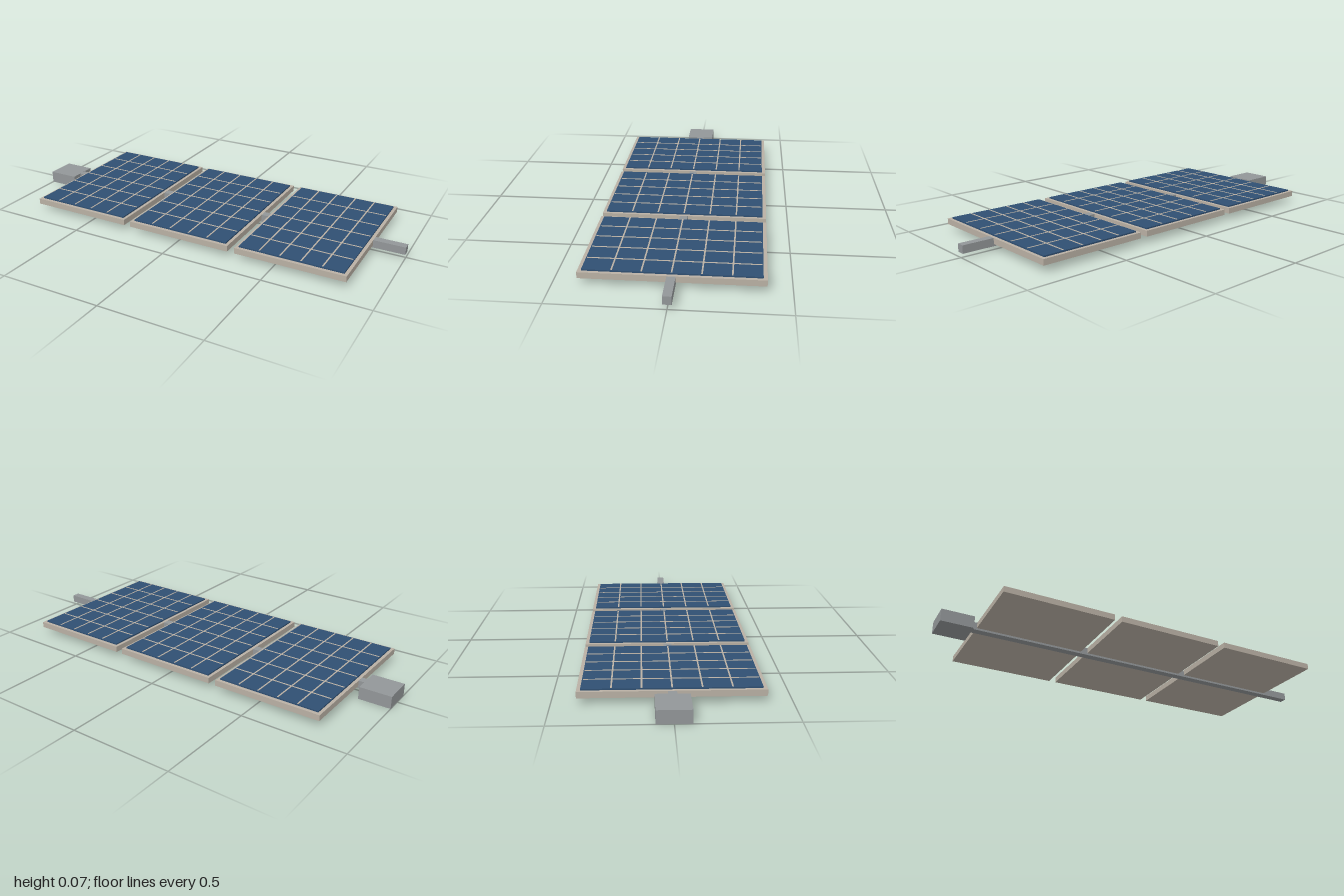
import * as THREE from 'three';

const frameMat = new THREE.MeshStandardMaterial({ color: 0xb9b0a4 });
frameMat.name = 'warm grey frame';
const cellMat = new THREE.MeshStandardMaterial({ color: 0x2f4f72 });
cellMat.name = 'blue cells';
const metalMat = new THREE.MeshStandardMaterial({ color: 0x929698 });
metalMat.name = 'grey metal';

// Box given by its centre in x and z, its bottom and top in y
function box(parent, name, mat, w, d, y0, y1, x = 0, z = 0) {
  const mesh = new THREE.Mesh(new THREE.BoxGeometry(w, y1 - y0, d), mat);
  mesh.position.set(x, (y0 + y1) / 2, z);
  mesh.name = name;
  parent.add(mesh);
}

function makePanel(x) {
  const panel = new THREE.Group();
  panel.name = 'solarPanel';
  panel.position.x = x;
  const w = 0.5, d = 0.752, columns = 5, rows = 6, line = 0.007;
  box(panel, 'panelFrame', frameMat, 0.531, 0.786, 0.032, 0.06);
  box(panel, 'cellSheet', cellMat, w, d, 0.06, 0.0665);
  // Thin raised lines between the cells
  for (let i = 1; i < columns; i++) {
    box(panel, 'columnLine', frameMat, line, d - 0.008, 0.0655, 0.0677, (i / columns - 0.5) * w);
  }
  for (let i = 1; i < rows; i++) {
    box(panel, 'rowLine', frameMat, w - 0.008, line, 0.0655, 0.0675, 0, (i / rows - 0.5) * d);
  }
  return panel;
}

export function createModel() {
  const model = new THREE.Group();
  model.name = 'solarArray';

  // Three panels along the spar
  for (let i = -1; i <= 1; i++) model.add(makePanel(0.015 + i * 0.567));

  // Spar running under the panels, with the mounting block at one end
  box(model, 'spar', metalMat, 1.9, 0.038, 0.022, 0.0595, 0.05);
  box(model, 'mountingBlock', metalMat, 0.155, 0.146, 0, 0.06, -0.9225);

  return model;
}
